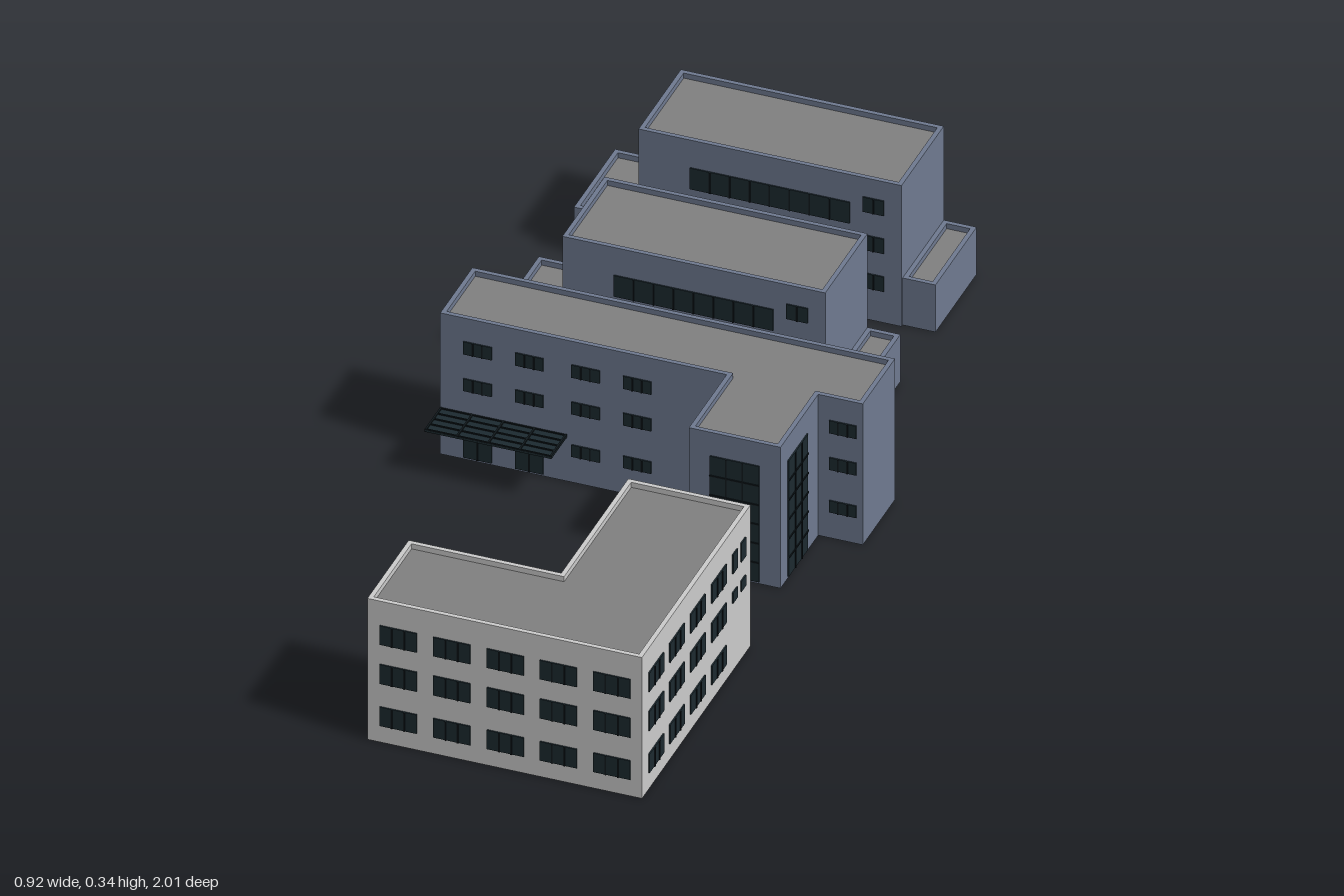
import * as THREE from 'three';

const mat = (color) => new THREE.MeshStandardMaterial({ color, flatShading: true });
const pale = mat(0xc4c8c6), blue = mat(0x6f7a90), roofGrey = mat(0x808080);
const glass = mat(0x1c2a30), frame = mat(0x10181c);
const WALL = 0.01, H = 0.335;

// Plan outline [x, z] as counter-clockwise shape points (y = -z)
function outline(plan) {
  const pts = plan.map(([x, z]) => new THREE.Vector2(x, -z));
  return THREE.ShapeUtils.isClockWise(pts) ? pts.reverse() : pts;
}

// Right-angled outline moved inwards by t
function inset(pts, t) {
  const n = pts.length;
  const normal = (a, b) => {
    const d = b.clone().sub(a).normalize();
    return new THREE.Vector2(-d.y, d.x);
  };
  return pts.map((p, i) => p.clone()
    .addScaledVector(normal(pts[(i + n - 1) % n], p), t)
    .addScaledVector(normal(p, pts[(i + 1) % n]), t));
}

function prism(name, pts, hole, y, h, material) {
  const shape = new THREE.Shape(pts);
  if (hole) shape.holes.push(new THREE.Path(hole));
  const geo = new THREE.ExtrudeGeometry(shape, { depth: h, bevelEnabled: false });
  geo.rotateX(-Math.PI / 2);
  geo.translate(0, y, 0);
  const mesh = new THREE.Mesh(geo, material);
  mesh.name = name;
  return mesh;
}

// Hollow walls rising past a sunken flat roof
function block(name, plan, h, material, floor = true) {
  const g = new THREE.Group();
  g.name = name;
  const outer = outline(plan), inner = inset(outer, WALL);
  g.add(prism('walls', outer, inner, 0, h, material));
  g.add(prism('roof', inner, null, h - 0.022, 0.01, roofGrey));
  if (floor) g.add(prism('floor', inner, null, 0, 0.01, roofGrey));
  return g;
}

const rect = (x0, x1, z0, z1) => [[x0, z0], [x1, z0], [x1, z1], [x0, z1]];

function box(name, w, h, d, x, y, z, material) {
  const m = new THREE.Mesh(new THREE.BoxGeometry(w, h, d), material);
  m.name = name;
  m.position.set(x, y, z);
  return m;
}

// Window on a wall plane; dir is the wall's outward side, a..b runs along x or z
function pane(dir, plane, a, b, y0, y1, bars = 2, rails = 0) {
  const g = new THREE.Group();
  g.name = 'window';
  const w = b - a, h = y1 - y0;
  g.add(box('glass', w, h, 0.016, 0, 0, 0, glass));
  for (let i = 1; i <= bars; i++)
    g.add(box('mullion', 0.003, h, 0.004, -w / 2 + (w * i) / (bars + 1), 0, 0.008, frame));
  for (let i = 1; i <= rails; i++)
    g.add(box('rail', w, 0.003, 0.004, 0, -h / 2 + (h * i) / (rails + 1), 0.008, frame));
  const mid = (a + b) / 2, y = (y0 + y1) / 2;
  const sign = dir[0] === '+' ? 1 : -1, depth = plane - sign * 0.005;
  if (dir[1] === 'z') {
    g.position.set(mid, y, depth);
    g.rotation.y = sign > 0 ? 0 : Math.PI;
  } else {
    g.position.set(depth, y, mid);
    g.rotation.y = sign * Math.PI / 2;
  }
  return g;
}

// Grid of equal windows
function panes(parent, dir, plane, starts, width, rows, bars) {
  for (const a of starts)
    for (const [y0, y1] of rows) parent.add(pane(dir, plane, a, a + width, y0, y1, bars));
}

// Pale L-shaped building at the front
function frontBuilding() {
  const g = block('frontBuilding',
    [[-0.205, 1], [0.38, 1], [0.38, 0.41], [0.12, 0.41], [0.12, 0.775], [-0.205, 0.775]], H, pale);
  const rows = [[0.04, 0.085], [0.14, 0.186], [0.233, 0.278]];
  panes(g, '+z', 1, [-0.178, -0.064, 0.05, 0.163, 0.277], 0.079, rows);
  panes(g, '+x', 0.38, [0.545, 0.66, 0.773, 0.886], 0.08, rows);
  panes(g, '+x', 0.38, [0.44, 0.485], 0.025, [[0.163, 0.188], [0.233, 0.278]], 0);
  panes(g, '-x', 0.12, [0.455, 0.61], 0.09, rows);
  panes(g, '-z', 0.775, [-0.165, -0.02], 0.09, rows);
  return g;
}

// Blue entrance building with a stair wing and a canopy
function middleBuilding() {
  const g = block('middleBuilding',
    [[-0.445, -0.185], [0.455, -0.185], [0.455, -0.01], [0.36, -0.01], [0.36, 0.195],
      [0.165, 0.195], [0.165, -0.01], [-0.445, -0.01]], H, blue);
  const upper = [[0.163, 0.192], [0.25, 0.28]], low = [0.062, 0.09];
  panes(g, '+z', -0.01, [-0.395, -0.285, -0.165, -0.055], 0.06, upper);
  panes(g, '+z', -0.01, [-0.165, -0.055], 0.06, [low]);
  panes(g, '+z', -0.01, [0.384], 0.058, [low, ...upper]);
  panes(g, '+z', -0.01, [-0.395, -0.285], 0.06, [[0.005, 0.09]], 1);
  // Tall stair glazing
  g.add(pane('+z', 0.195, 0.21, 0.315, 0.005, 0.28, 2, 5));
  g.add(pane('+x', 0.36, 0.052, 0.157, 0.005, 0.28, 2, 5));
  // Canopy lattice over the doors
  const canopy = new THREE.Group();
  canopy.name = 'canopy';
  canopy.add(box('canopyGlass', 0.27, 0.004, 0.085, -0.31, 0.107, 0.0325, glass));
  for (let i = 0; i <= 4; i++)
    canopy.add(box('canopyRib', 0.004, 0.007, 0.085, -0.443 + i * 0.0665, 0.108, 0.0325, frame));
  for (let i = 0; i <= 4; i++)
    canopy.add(box('canopyBar', 0.27, 0.007, 0.003, -0.31, 0.108, -0.008 + i * 0.0203, frame));
  g.add(canopy);
  return g;
}

// Blue rear building with a low annex at each end
function rearBuilding(name, front, back) {
  const g = new THREE.Group();
  g.name = name;
  g.add(block('mainBlock', rect(-0.32, 0.24, back, front), H, blue, false));
  g.add(block('rightAnnex', rect(-0.46, -0.32, back, front - 0.006), 0.112, blue));
  g.add(block('leftAnnex', rect(0.24, 0.31, back, front - 0.006), 0.112, blue));
  const rows = [[0.06, 0.105], [0.14, 0.19], [0.22, 0.27]];
  for (const [y0, y1] of rows) g.add(pane('+z', front, -0.21, 0.13, y0, y1, 7));
  panes(g, '+z', front, [0.158], 0.045, [[0.075, 0.11], [0.165, 0.2], [0.255, 0.29]], 1);
  // Floor strips beside the open underside
  g.add(box('frontFloor', 0.54, 0.008, 0.06, -0.04, 0.004, front - 0.04, roofGrey));
  g.add(box('backFloor', 0.54, 0.008, 0.06, -0.04, 0.004, back + 0.04, roofGrey));
  return g;
}

export function createModel() {
  const model = new THREE.Group();
  model.name = 'buildingComplex';
  model.add(frontBuilding(), middleBuilding(),
    rearBuilding('rearBuildingNear', -0.355, -0.585),
    rearBuilding('rearBuildingFar', -0.77, -1));
  return model;
}
